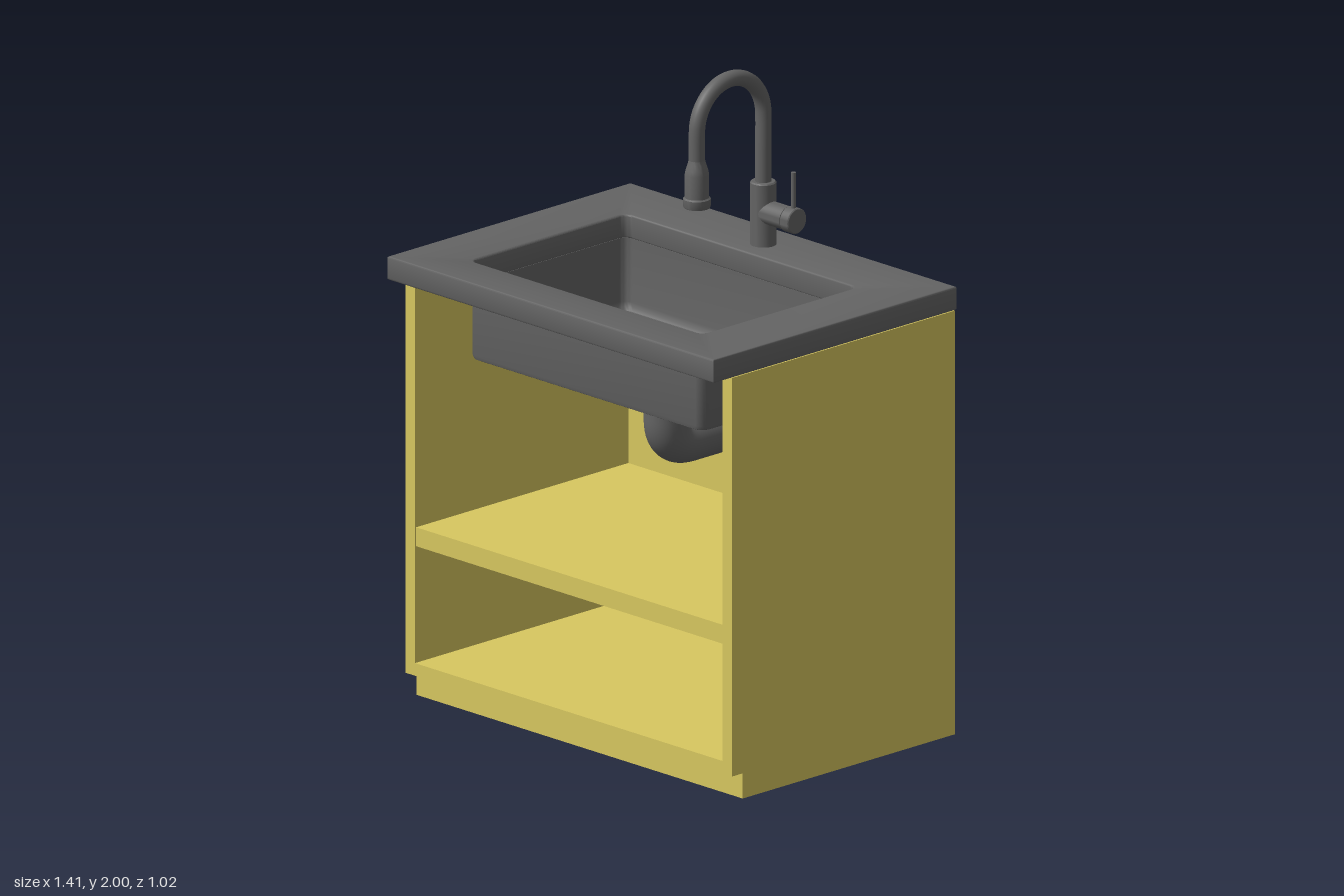
import * as THREE from 'three';
import { toCreasedNormals } from 'three/addons/utils/BufferGeometryUtils.js';

const wood = new THREE.MeshStandardMaterial({ color: 0xd8c860 });
const metal = new THREE.MeshStandardMaterial({ color: 0x646464 });
const thinMetal = new THREE.MeshStandardMaterial({ color: 0x646464, side: THREE.DoubleSide });

function add(parent, name, geometry, material, x = 0, y = 0, z = 0) {
  const mesh = new THREE.Mesh(geometry, material);
  mesh.name = name;
  mesh.position.set(x, y, z);
  parent.add(mesh);
  return mesh;
}

// Rounded rectangle in plan (x, z); a circle when r equals both half sizes
function roundedRing(hx, hz, r, cz = 0, steps = 8) {
  const points = [];
  [[1, 1], [-1, 1], [-1, -1], [1, -1]].forEach(([sx, sz], k) => {
    for (let i = 0; i <= steps; i++) {
      const a = (k + i / steps) * Math.PI / 2;
      points.push([sx * (hx - r) + r * Math.cos(a), cz + sz * (hz - r) + r * Math.sin(a)]);
    }
  });
  return points;
}

// Skin over a list of rings [halfX, halfZ, cornerRadius, centreZ, y]
function loft(rings) {
  const position = [], index = [];
  let n = 0;
  for (const [hx, hz, r, cz, y] of rings) {
    const ring = roundedRing(hx, hz, r, cz);
    n = ring.length;
    ring.forEach(([x, z]) => position.push(x, y, z));
  }
  for (let i = 0; i < rings.length - 1; i++) {
    for (let j = 0; j < n; j++) {
      const k = (j + 1) % n;
      const a = i * n + j, b = i * n + k, c = b + n, d = a + n;
      index.push(a, b, d, b, c, d);
    }
  }
  const geometry = new THREE.BufferGeometry();
  geometry.setAttribute('position', new THREE.Float32BufferAttribute(position, 3));
  geometry.setIndex(index);
  return toCreasedNormals(geometry, 0.6);
}

function lathe(profile) {
  const points = profile.map(([r, y]) => new THREE.Vector2(r, y));
  return toCreasedNormals(new THREE.LatheGeometry(points, 32), 0.6);
}

function buildCabinet() {
  const cabinet = new THREE.Group();
  cabinet.name = 'cabinet';

  // Side panels, notched at the toe kick
  const side = new THREE.Shape([
    [-0.505, 0], [0.39, 0], [0.39, 0.08], [0.435, 0.08], [0.435, 1.345], [-0.505, 1.345],
  ].map(([z, y]) => new THREE.Vector2(-z, y)));
  const sideGeometry = new THREE.ExtrudeGeometry(side, { depth: 0.04, bevelEnabled: false }).rotateY(Math.PI / 2);
  add(cabinet, 'leftPanel', sideGeometry, wood, 0.665);
  add(cabinet, 'rightPanel', sideGeometry, wood, -0.705);

  // Back, floor, shelf and plinth
  add(cabinet, 'backPanel', new THREE.BoxGeometry(1.33, 1.345, 0.04), wood, 0, 0.6725, -0.485);
  add(cabinet, 'floorPanel', new THREE.BoxGeometry(1.33, 0.04, 0.9), wood, 0, 0.1, -0.015);
  add(cabinet, 'shelf', new THREE.BoxGeometry(1.33, 0.06, 0.895), wood, 0, 0.52, -0.0175);
  add(cabinet, 'plinth', new THREE.BoxGeometry(1.33, 0.08, 0.855), wood, 0, 0.04, -0.0375);
  return cabinet;
}

function buildSink() {
  const sink = new THREE.Group();
  sink.name = 'sink';

  // Countertop with the basin opening
  const top = new THREE.Shape([[-0.705, -0.512], [0.705, -0.512], [0.705, 0.512], [-0.705, 0.512]]
    .map(([x, z]) => new THREE.Vector2(x, z)));
  const opening = roundedRing(0.5, 0.327, 0.03, -0.035).map(([x, y]) => new THREE.Vector2(x, y));
  // Drop the repeated straight-run ends that would coincide
  top.holes.push(new THREE.Path(opening));
  const bevel = 0.006;
  const slab = new THREE.ExtrudeGeometry(top, {
    depth: 0.075 - 2 * bevel, bevelThickness: bevel, bevelSize: bevel, bevelOffset: -bevel, bevelSegments: 3,
  }).rotateX(-Math.PI / 2);
  add(sink, 'countertop', toCreasedNormals(slab, 0.6), metal, 0, 1.345 + bevel, 0);

  // Basin: drain, inner floor and wall, then outer wall and underside
  const cz = 0.035;
  add(sink, 'basin', loft([
    [0.058, 0.058, 0.058, 0.025, 1.07],
    [0.058, 0.058, 0.058, 0.025, 1.106],
    [0.475, 0.302, 0.03, cz, 1.114],
    [0.49, 0.317, 0.03, cz, 1.119],
    [0.497, 0.324, 0.03, cz, 1.13],
    [0.5, 0.327, 0.03, cz, 1.145],
    [0.5, 0.327, 0.03, cz, 1.347],
    [0.506, 0.333, 0.034, cz, 1.347],
    [0.506, 0.333, 0.034, cz, 1.125],
    [0.502, 0.329, 0.034, cz, 1.112],
    [0.49, 0.317, 0.034, cz, 1.106],
    [0.06, 0.06, 0.06, 0.025, 1.098],
    [0.06, 0.06, 0.06, 0.025, 1.07],
  ]), thinMetal);

  // Drain pipe, bending to the back panel
  const path = new THREE.CurvePath();
  const p = (y, z) => new THREE.Vector3(0, y, z);
  path.add(new THREE.LineCurve3(p(1.09, 0.025), p(0.96, 0.025)));
  path.add(new THREE.QuadraticBezierCurve3(p(0.96, 0.025), p(0.872, 0.025), p(0.872, -0.065)));
  path.add(new THREE.LineCurve3(p(0.872, -0.065), p(0.872, -0.47)));
  add(sink, 'drainPipe', new THREE.TubeGeometry(path, 60, 0.068, 28), thinMetal);
  add(sink, 'drainPipeRim', new THREE.RingGeometry(0.058, 0.068, 32).rotateX(-Math.PI / 2), thinMetal, 0, 1.09, 0.025);
  return sink;
}

function buildFaucet() {
  const faucet = new THREE.Group();
  faucet.name = 'faucet';
  const zBase = -0.385, zHead = -0.105, reach = 0.14, yArch = 1.835;

  add(faucet, 'faucetBody', lathe([[0, 1.415], [0.04, 1.415], [0.04, 1.616], [0.036, 1.62], [0, 1.62]]), metal, 0, 0, zBase);

  // Gooseneck: straight rise, half circle, short drop
  const points = [new THREE.Vector3(0, 1.6, zBase), new THREE.Vector3(0, 1.72, zBase)];
  for (let i = 0; i <= 16; i++) {
    const a = Math.PI * (1 - i / 16);
    points.push(new THREE.Vector3(0, yArch + reach * Math.sin(a), (zBase + zHead) / 2 + reach * Math.cos(a)));
  }
  points.push(new THREE.Vector3(0, 1.72, zHead));
  add(faucet, 'gooseneck', new THREE.TubeGeometry(new THREE.CatmullRomCurve3(points), 80, 0.025, 20), metal);

  // Spray head with a collar at the mouth
  add(faucet, 'sprayHead', lathe([
    [0, 1.612], [0.032, 1.612], [0.034, 1.6], [0.04, 1.6], [0.042, 1.605], [0.042, 1.628],
    [0.037, 1.632], [0.037, 1.705], [0.034, 1.72], [0.028, 1.738], [0.025, 1.75],
  ]), thinMetal, 0, 0, zHead);

  // Side valve, its turning cap and the lever
  const valve = lathe([
    [0, 0], [0.037, 0], [0.037, 0.107], [0.033, 0.107], [0.033, 0.112],
    [0.04, 0.112], [0.04, 0.144], [0.037, 0.147], [0, 0.147],
  ]).rotateZ(-Math.PI / 2);
  add(faucet, 'valve', valve, metal, 0, 1.525, zBase);
  add(faucet, 'lever', new THREE.CylinderGeometry(0.008, 0.008, 0.13, 16), metal, 0.13, 1.612, zBase);
  return faucet;
}

export function createModel() {
  const model = new THREE.Group();
  model.name = 'sinkCabinet';
  model.add(buildCabinet(), buildSink(), buildFaucet());
  return model;
}
